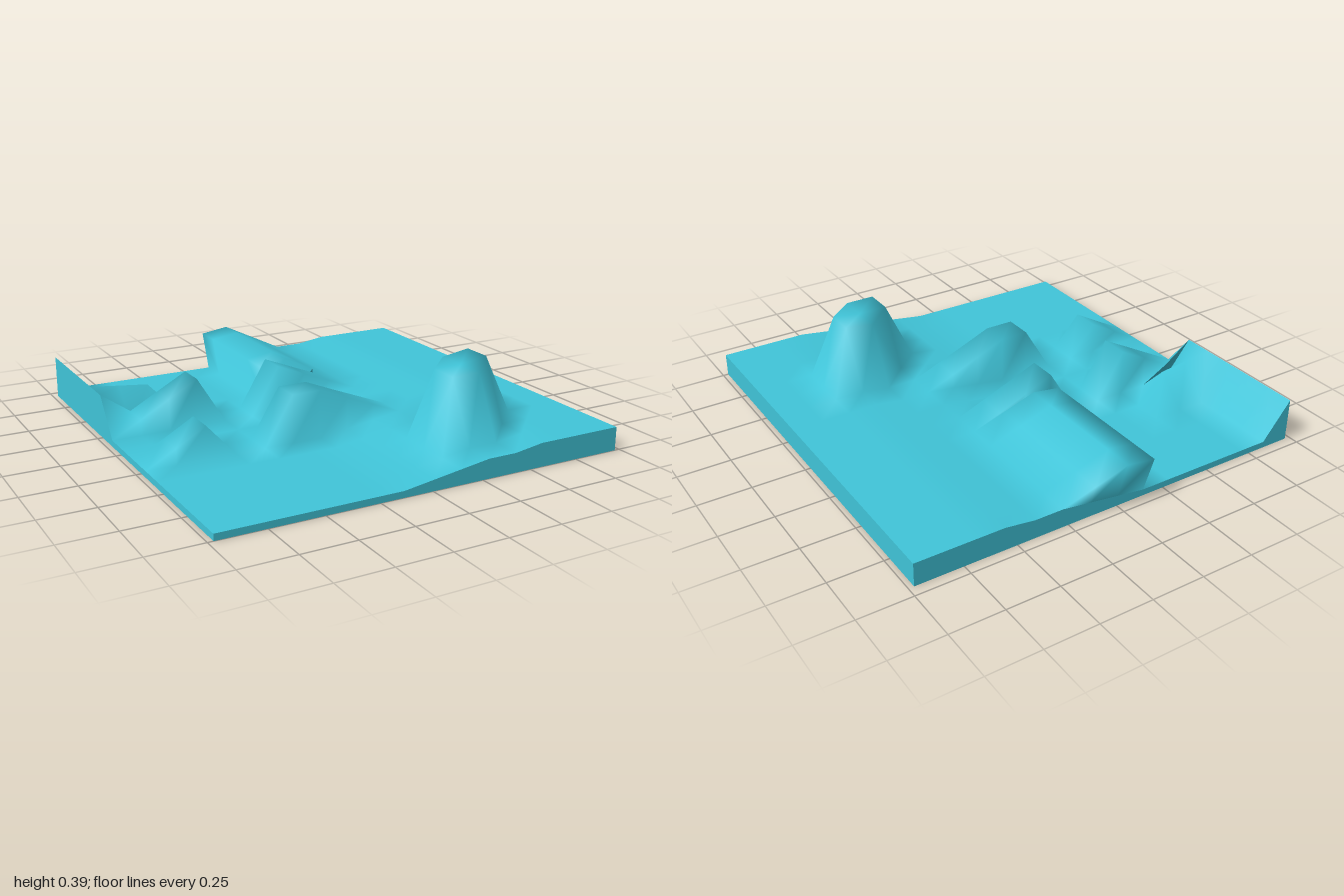
import * as THREE from 'three';
import { mergeVertices } from 'three/addons/utils/BufferGeometryUtils.js';

const N = 14, STEP = 1.95 / N;
const gridX = i => -0.975 + i * STEP;
const gridZ = j => -0.95 + j * STEP;

// Gently stepped ground, rising towards +x
const GROUND = [0.03, 0.03, 0.03, 0.03, 0.03, 0.03, 0.03, 0.05, 0.07, 0.09, 0.09, 0.11, 0.11, 0.11, 0.11];

// Crest heights by column for the two steep-sided ridges
const BACK_RIDGE = { 1: 0.106, 2: 0.182, 3: 0.257, 6: 0.257, 7: 0.2, 8: 0.145 };
const FRONT_RIDGE = { 1: 0.106, 2: 0.185, 5: 0.257, 6: 0.257, 7: 0.2, 8: 0.145 };
// Lift by column of the leaning ridge that runs to the back edge
const LEANING = { 6: 0.18, 7: 0.18, 8: 0.09 };
// Raised columns of the hill, by row
const HILL = { 10: [10, 11], 11: [9, 10, 11], 12: [9, 10] };

// Rows as [grid row, layer]; a repeated row makes a steep wall
const rows = [[0, 'ground']];
for (let j = 0; j <= 5; j++) rows.push([j, 'leaning']);
rows.push([5, 'ground'], [5, 'back'], [6, 'back'], [6, 'ground'], [7, 'ground'],
  [8, 'ground'], [8, 'front'], [9, 'front'], [9, 'ground']);
for (let j = 10; j <= N; j++) rows.push([j, 'ground']);

// Columns as [grid column, raised]; column 6 is doubled for the leaning ridge's side
const cols = [];
for (let i = 0; i <= N; i++) {
  if (i === 6) cols.push([6, false]);
  cols.push([i, true]);
}

function terrainPoint([j, layer], [i, raised]) {
  let x = gridX(i), y = GROUND[i], z = gridZ(j);
  if (i === 0 && j <= 5) y = 0.205;
  if (j === 4 && i === 1) y = 0.19;
  if (j === 4 && i === 2) y = 0.175;
  if (HILL[j] && HILL[j].includes(i)) y += 0.28;
  if (layer === 'back') y = Math.max(y, BACK_RIDGE[i] || 0);
  if (layer === 'front') y = Math.max(y, FRONT_RIDGE[i] || 0);
  if (layer === 'leaning' && raised && LEANING[i]) {
    const k = LEANING[i] / 0.18;
    y += LEANING[i];
    x -= 0.009 * k;
    z -= 0.048 * k;
  }
  return new THREE.Vector3(x, y, z);
}

// Indexed surface through a grid of points
function surface(grid) {
  const w = grid[0].length, index = [];
  for (let j = 0; j < grid.length - 1; j++) {
    for (let i = 0; i < w - 1; i++) {
      const a = j * w + i, b = a + w, c = b + 1, d = a + 1;
      index.push(a, b, d, b, c, d);
    }
  }
  const geometry = new THREE.BufferGeometry().setFromPoints(grid.flat());
  geometry.setIndex(index);
  const merged = mergeVertices(geometry, 1e-4);
  merged.computeVertexNormals();
  return merged;
}

export function createModel() {
  const group = new THREE.Group();
  const material = new THREE.MeshStandardMaterial({ color: 0x40c4d8, side: THREE.DoubleSide });
  const add = (name, geometry) => {
    const mesh = new THREE.Mesh(geometry, material);
    mesh.name = name;
    group.add(mesh);
  };

  // Landscape surface
  const grid = rows.map(r => cols.map(c => terrainPoint(r, c)));
  add('terrain', surface(grid));

  // Side walls from the terrain's rim down to the floor
  const rims = {
    frontWall: grid[grid.length - 1],
    backWall: [...grid[0]].reverse(),
    leftWall: grid.map(r => r[r.length - 1]).reverse(),
    rightWall: grid.map(r => r[0]),
  };
  for (const [name, rim] of Object.entries(rims)) {
    add(name, surface([rim, rim.map(p => new THREE.Vector3(p.x, 0, p.z))]));
  }

  // Flat underside
  const underside = new THREE.PlaneGeometry(1.95, 1.95).rotateX(Math.PI / 2).translate(0, 0, 0.025);
  add('underside', underside);
  return group;
}
